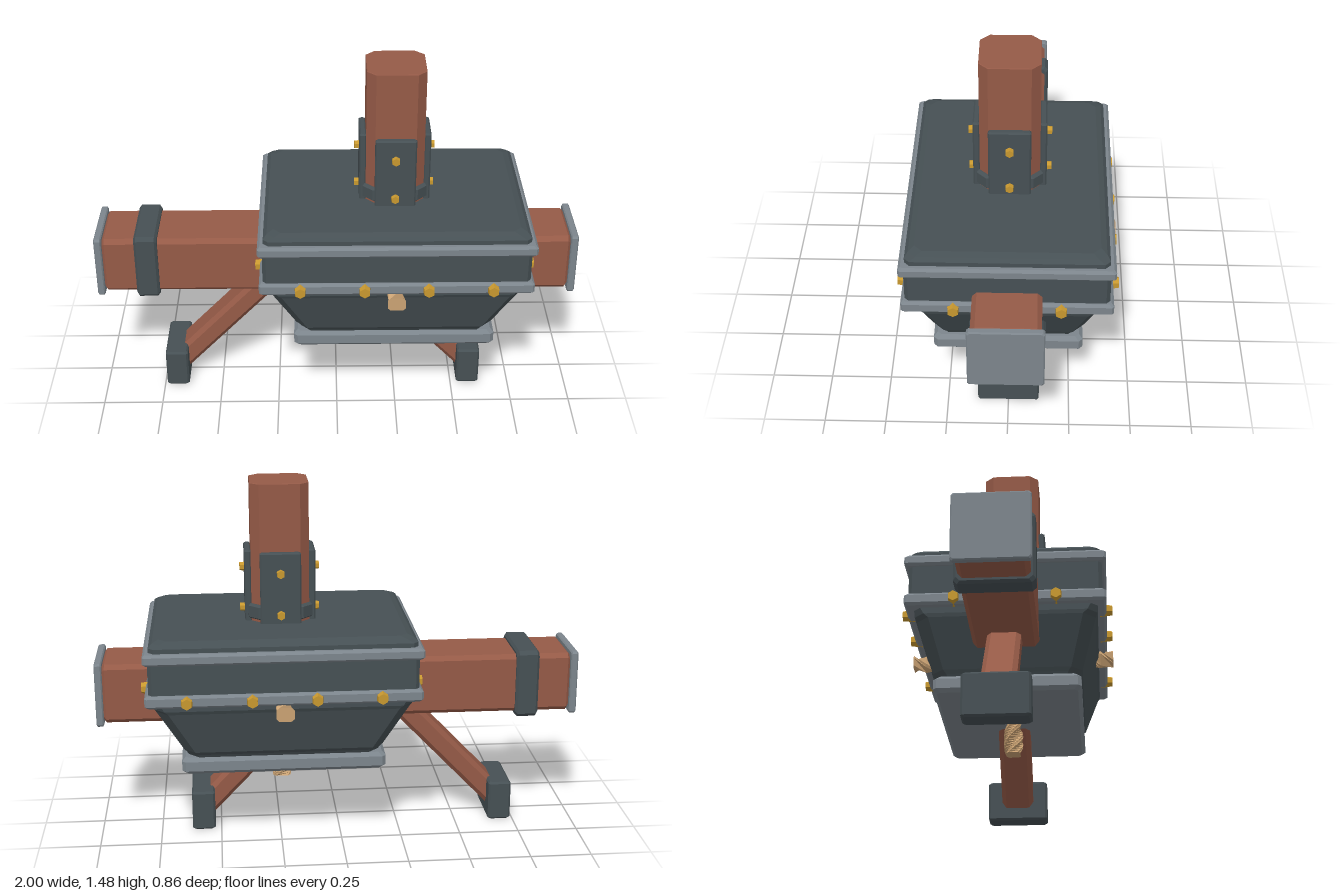
import * as THREE from 'three';

const mat = (name, color) => Object.assign(new THREE.MeshStandardMaterial({ color }), { name });
const iron = mat('dark iron', 0x465054);
const steel = mat('pale steel', 0x7c858c);
const wood = mat('red wood', 0x955a47);
const brass = mat('brass', 0xc8982f);
const rope = mat('rope tan', 0xcaa273);

// Faceted loft along y. Each section: [y, halfX, halfZ, cornerCut, twist]
function loft(sections) {
  const pos = [], idx = [], n = 8;
  for (const [y, hx, hz, c, t = 0] of sections) {
    const ring = [[hx, hz - c], [hx, c - hz], [hx - c, -hz], [c - hx, -hz],
      [-hx, c - hz], [-hx, hz - c], [c - hx, hz], [hx - c, hz]];
    for (const [x, z] of ring) {
      pos.push(x * Math.cos(t) + z * Math.sin(t), y, z * Math.cos(t) - x * Math.sin(t));
    }
  }
  const last = (sections.length - 1) * n;
  for (let s = 0; s < last; s += n) {
    for (let i = 0; i < n; i++) {
      const j = (i + 1) % n;
      idx.push(s + i, s + j, s + n + j, s + i, s + n + j, s + n + i);
    }
  }
  for (let i = 1; i < n - 1; i++) {
    idx.push(0, i + 1, i, last, last + i, last + i + 1);
  }
  const g = new THREE.BufferGeometry();
  g.setAttribute('position', new THREE.Float32BufferAttribute(pos, 3));
  g.setIndex(idx);
  const flat = g.toNonIndexed();
  flat.computeVertexNormals();
  return flat;
}

// Bar from y0 to y1 with cut corners c and bevelled ends b
function bar(y0, y1, hx, hz, c, b) {
  return loft([[y0, hx - b, hz - b, c], [y0 + b, hx, hz, c],
    [y1 - b, hx, hz, c], [y1, hx - b, hz - b, c]]);
}

// Length of twisted square cord
function cord(y0, y1, r, turns) {
  const sections = [], steps = 16;
  for (let i = 0; i <= steps; i++) {
    const t = i / steps;
    sections.push([y0 + (y1 - y0) * t, r, r * 0.8, r * 0.3, t * turns * Math.PI * 2]);
  }
  return loft(sections);
}

export function createModel() {
  const model = new THREE.Group();
  const add = (name, geometry, material, parent = model) => {
    const mesh = new THREE.Mesh(geometry, material);
    mesh.name = name;
    parent.add(mesh);
    return mesh;
  };
  const alongX = (g) => g.rotateZ(-Math.PI / 2);

  // Hex bolt facing angle a (0 = +z) at distance d from its parent's axis
  const bolt = (parent, a, side, y, d, r) => {
    const g = new THREE.CylinderGeometry(r * 0.8, r, 0.05, 6).toNonIndexed();
    g.computeVertexNormals();
    g.rotateX(Math.PI / 2).translate(side, y, d - 0.025).rotateY(a);
    add('bolt', g, brass, parent);
  };

  // Hopper-shaped housing
  const housing = new THREE.Group();
  housing.name = 'housing';
  housing.position.x = 0.237;
  model.add(housing);
  add('lowerHull', loft([[0.38, 0.38, 0.275, 0.04], [0.405, 0.395, 0.29, 0.045],
    [0.42, 0.405, 0.302, 0.045], [0.605, 0.51, 0.36, 0.05],
    [0.62, 0.515, 0.368, 0.04], [0.66, 0.515, 0.37, 0.02]]), iron, housing);
  add('upperHull', bar(0.65, 0.86, 0.535, 0.39, 0.015, 0.005), iron, housing);
  add('lid', loft([[0.85, 0.53, 0.385, 0.02], [0.885, 0.53, 0.385, 0.02],
    [0.898, 0.515, 0.372, 0.03], [0.907, 0.49, 0.35, 0.03]]), iron, housing);
  add('upperBand', bar(0.82, 0.867, 0.553, 0.408, 0.008, 0.01), steel, housing);
  add('lowerBand', bar(0.645, 0.697, 0.55, 0.405, 0.008, 0.01), steel, housing);
  add('basePlate', bar(0.322, 0.392, 0.415, 0.297, 0.015, 0.015), steel, housing);
  for (const a of [0, Math.PI]) {
    for (const x of [-0.385, -0.128, 0.128, 0.385]) bolt(housing, a, x, 0.67, 0.428, 0.028);
    for (const z of [-0.205, 0.205]) bolt(housing, a + Math.PI / 2, z, 0.67, 0.57, 0.028);
  }

  // Cords through the front, back and underside
  add('crossCord', cord(-0.43, 0.43, 0.036, 3).rotateX(Math.PI / 2).translate(0, 0.618, 0), rope, housing);
  add('hangingCord', cord(0.195, 0.36, 0.037, 0.7), rope, housing);

  // Upright post with bolted brackets
  const post = new THREE.Group();
  post.name = 'postAssembly';
  post.position.x = 0.237;
  model.add(post);
  add('post', bar(0.88, 1.475, 0.118, 0.118, 0.036, 0.002), wood, post);
  add('postCollar', bar(0.918, 0.98, 0.13, 0.13, 0.038, 0.008), iron, post);
  for (let i = 0; i < 4; i++) {
    const a = i * Math.PI / 2;
    add('bracket', bar(0.89, 1.2, 0.083, 0.014, 0.006, 0.006).translate(0, 0, 0.13).rotateY(a), iron, post);
    for (const y of [0.943, 1.115]) bolt(post, a, 0, y, 0.163, 0.021);
  }

  // Horizontal beam with straps and end caps
  const beam = new THREE.Group();
  beam.name = 'beamAssembly';
  beam.position.y = 0.618;
  model.add(beam);
  add('beam', alongX(bar(-0.975, 0.975, 0.125, 0.133, 0.018, 0.015)), wood, beam);
  for (const s of [-1, 1]) {
    add('endCap', alongX(bar(-0.015, 0.015, 0.135, 0.145, 0.008, 0.005)).translate(s * 0.985, 0, 0), steel, beam);
  }
  for (const x of [-0.788, 0.667]) {
    add('strap', alongX(bar(-0.048, 0.048, 0.144, 0.15, 0.015, 0.01)).translate(x, 0, 0), iron, beam);
  }

  // Splayed legs: foot x, top x, top y
  for (const [side, footX, topX, topY] of [['right', -0.692, -0.2, 0.585], ['left', 0.573, 0.25, 0.41]]) {
    const dx = topX - footX, dy = topY - 0.07;
    const leg = add(side + 'Leg', bar(0, Math.hypot(dx, dy), 0.047, 0.067, 0.018, 0.004), wood);
    leg.position.set(footX, 0.07, 0);
    leg.rotation.z = -Math.atan2(dx, dy);
    add(side + 'Foot', bar(0, 0.17, 0.048, 0.126, 0.008, 0.008).translate(footX, 0, 0), iron);
  }
  return model;
}
